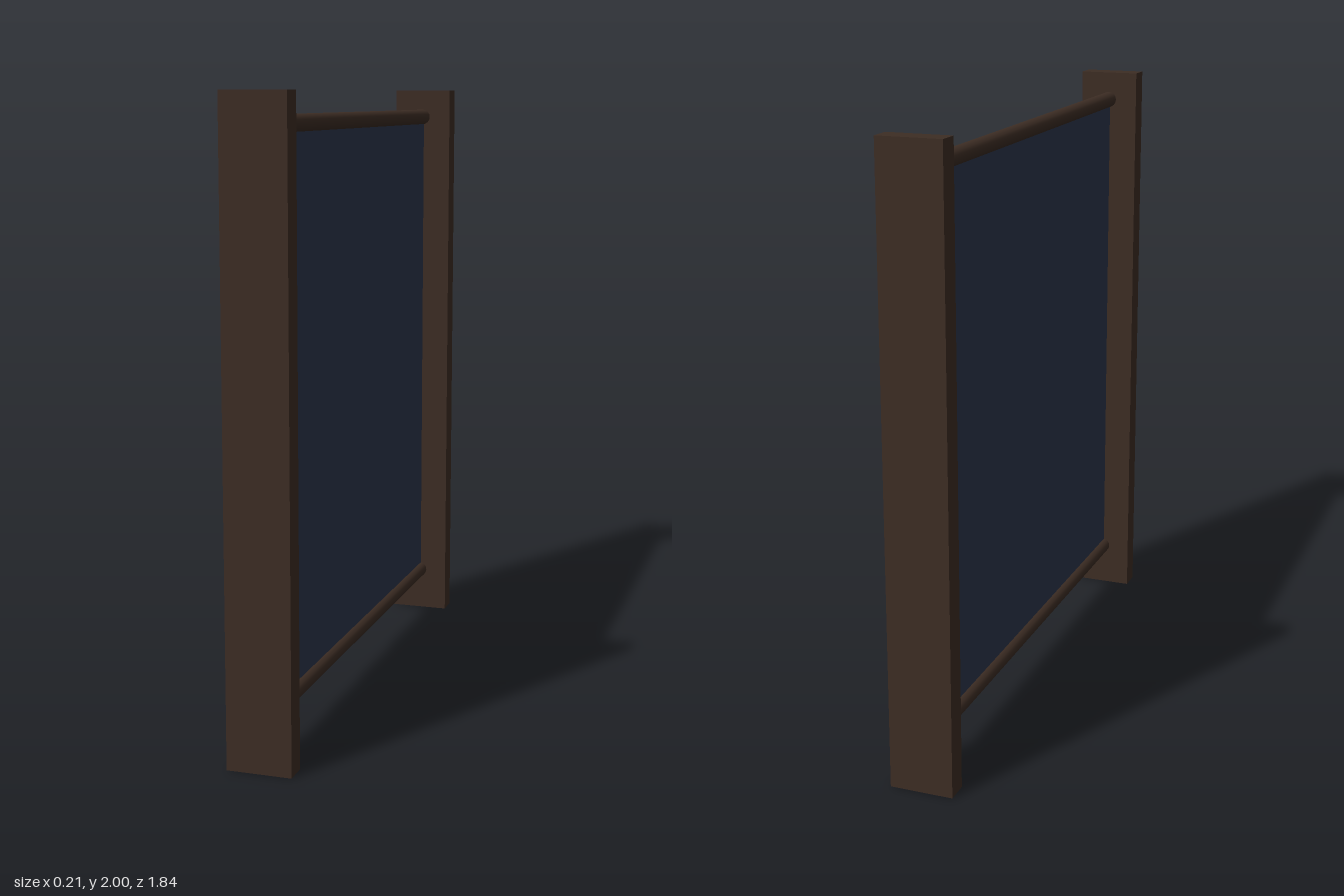
import * as THREE from 'three';

export function createModel() {
  const wood = new THREE.MeshStandardMaterial({ color: 0x3d2d24 });
  wood.name = 'dark wood';
  const fabric = new THREE.MeshStandardMaterial({ color: 0x2d374d });
  fabric.name = 'navy fabric';

  const model = new THREE.Group();
  model.name = 'hangingScreen';
  const add = (name, geometry, material, x, y, z) => {
    const mesh = new THREE.Mesh(geometry, material);
    mesh.name = name;
    mesh.position.set(x, y, z);
    model.add(mesh);
  };

  const postDepth = 0.074, outerZ = 0.918;
  const span = 2 * (outerZ - postDepth);
  const topY = 1.903, bottomY = 0.153;

  // Upright end boards
  const post = new THREE.BoxGeometry(0.206, 2, postDepth);
  add('frontPost', post, wood, 0, 1, outerZ - postDepth / 2);
  add('backPost', post, wood, 0, 1, -outerZ + postDepth / 2);

  // Round rails between the boards
  const rail = new THREE.CylinderGeometry(0.027, 0.027, span, 16).rotateX(Math.PI / 2);
  add('topRail', rail, wood, 0, topY, 0);
  add('bottomRail', rail, wood, 0, bottomY, 0);

  // Thin cloth stretched from rail to rail
  const cloth = new THREE.BoxGeometry(0.009, topY - bottomY - 0.03, span);
  add('clothPanel', cloth, fabric, 0, (topY + bottomY) / 2, 0);

  return model;
}
